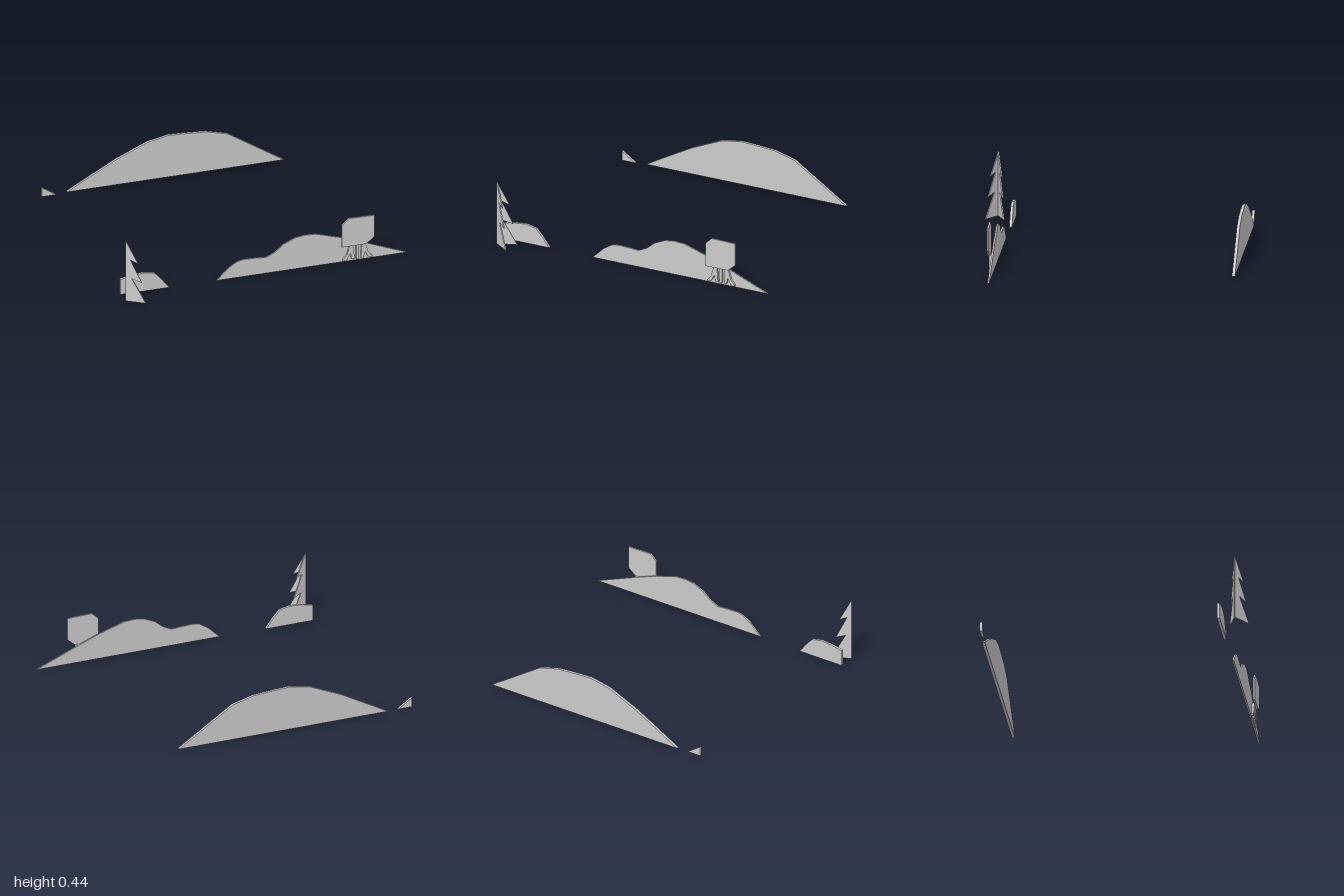
import * as THREE from 'three';

const material = new THREE.MeshStandardMaterial({ color: 0xcccccc, flatShading: true });

// Flat cutout: outline in x, y, extruded from z0 to z1
function cutout(name, points, z0, z1) {
  const shape = new THREE.Shape(points.map(([x, y]) => new THREE.Vector2(x, y)));
  const geometry = new THREE.ExtrudeGeometry(shape, { depth: z1 - z0, bevelEnabled: false });
  geometry.translate(0, 0, z0);
  const mesh = new THREE.Mesh(geometry, material);
  mesh.name = name;
  return mesh;
}

export function createModel() {
  const model = new THREE.Group();
  model.name = 'sceneryCutouts';

  // Distant hills
  model.add(cutout('backHill', [
    [-0.82, 0.008], [0.69, 0.008], [0.3, 0.256], [0.15, 0.295], [-0.02, 0.306],
    [-0.115, 0.31], [-0.26, 0.283], [-0.48, 0.19], [-0.71, 0.068],
  ], -0.895, -0.875));
  model.add(cutout('backHillEnd', [[-1, 0.005], [-0.9, 0.005], [-1, 0.07]], -0.885, -0.867));

  // Near hill with two humps
  model.add(cutout('frontHill', [
    [-0.33, 0], [0.995, 0], [0.71, 0.112], [0.54, 0.176], [0.36, 0.23], [0.28, 0.234],
    [0.215, 0.225], [0.135, 0.19], [0.08, 0.145], [0.015, 0.115], [-0.065, 0.121],
    [-0.145, 0.123], [-0.185, 0.115], [-0.245, 0.08],
  ], 0.703, 0.714));

  // Bush beside the tree
  model.add(cutout('bush', [
    [-1, 0], [-0.66, 0], [-0.71, 0.064], [-0.76, 0.118], [-0.835, 0.133], [-0.93, 0.125], [-1, 0.11],
  ], 0.692, 0.71));

  // Small tree: crown board in front of a splayed, mirrored root pair and thin stem
  const smallTree = new THREE.Group();
  smallTree.name = 'smallTree';
  smallTree.add(cutout('crown', [
    [0.535, 0.117], [0.705, 0.117], [0.76, 0.163], [0.76, 0.316], [0.582, 0.32], [0.535, 0.277],
  ], 0.726, 0.738));
  const root = [
    [-0.055, 0.12], [-0.075, 0.05], [-0.103, 0.02], [-0.103, 0.008], [-0.075, 0.015],
    [-0.05, 0.06], [-0.042, 0.015], [-0.022, 0.015], [-0.03, 0.12],
  ];
  for (const side of [1, -1]) {
    smallTree.add(cutout('root', root.map(([x, y]) => [0.647 + side * x, y]), 0.714, 0.728));
  }
  smallTree.add(cutout('stem', [
    [0.637, 0.12], [0.637, 0.015], [0.657, 0.015], [0.657, 0.12],
  ], 0.714, 0.728));
  model.add(smallTree);

  // Pine: two half silhouettes hinged along the trunk edge
  const pine = new THREE.Group();
  pine.name = 'pine';
  const tiers = [[0, 0], [1, 0], [0.3, 0.168], [0.8, 0.145], [0.23, 0.303], [0.62, 0.28], [0, 0.437]];
  for (const [dx, dz] of [[0.112, 0.077], [0.127, -0.047]]) {
    const length = Math.hypot(dx, dz);
    const half = cutout('pineHalf', tiers.map(([t, y]) => [t * length, y]), -0.004, 0.004);
    half.rotation.y = -Math.atan2(dz, dx);
    half.position.set(-0.998, 0, 0.81);
    pine.add(half);
  }
  model.add(pine);

  return model;
}
